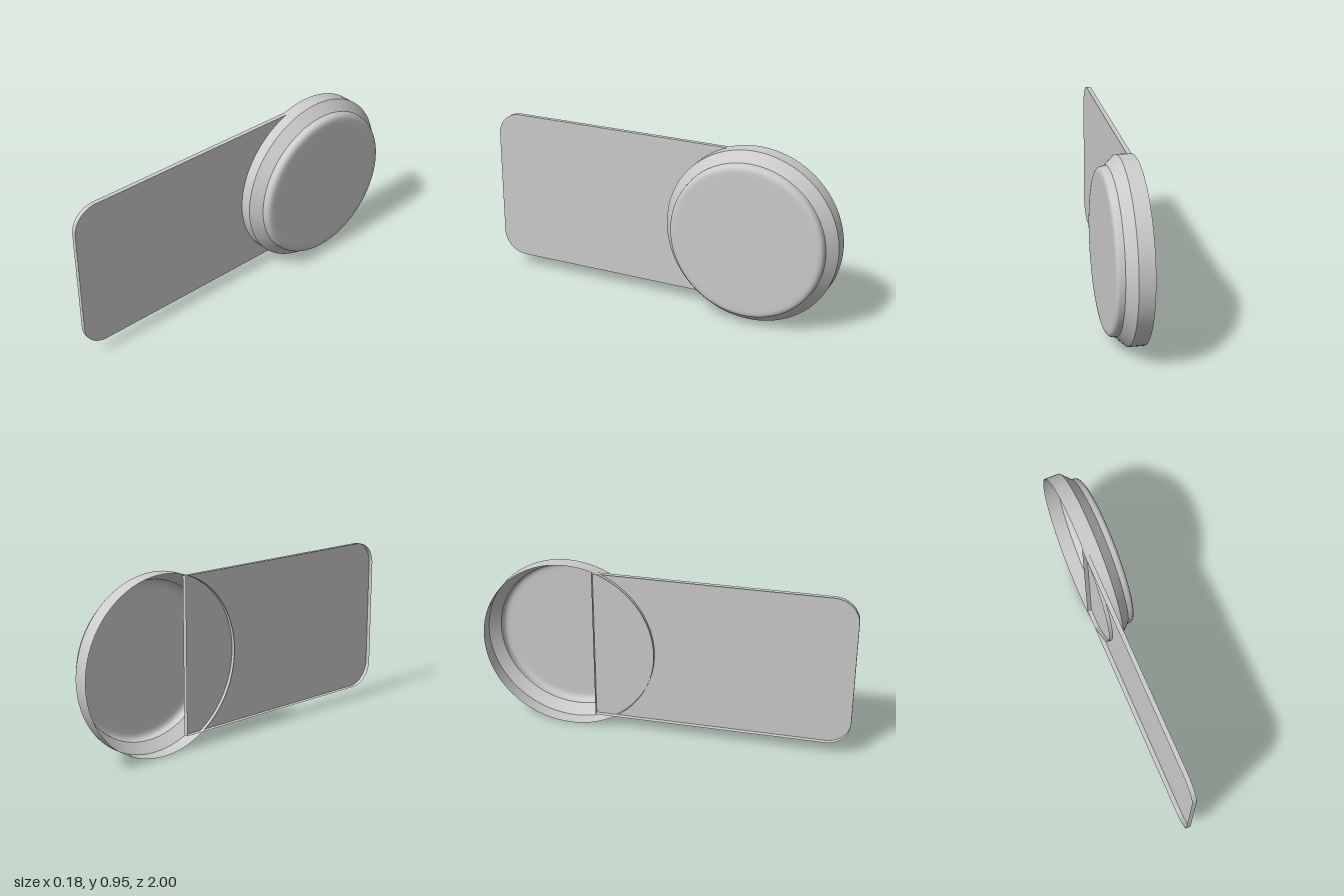
import * as THREE from 'three';
import { toCreasedNormals } from 'three/addons/utils/BufferGeometryUtils.js';

const material = new THREE.MeshStandardMaterial({ color: 0xcccccc, side: THREE.DoubleSide });

// Thin surface of revolution; each profile point is [radius, height]
function turned(name, profile) {
  const points = profile.map(([r, h]) => new THREE.Vector2(r, h));
  const mesh = new THREE.Mesh(new THREE.LatheGeometry(points, 80), material);
  mesh.name = name;
  return mesh;
}

// Hollow round cap, open at the back, its axis along x
function createDisc() {
  const disc = new THREE.Group();
  disc.name = 'disc';
  disc.add(
    turned('rim', [[0.473, -0.086], [0.473, -0.006]]),
    turned('bevel', [[0.473, -0.006], [0.422, 0.046]]),
    turned('lid', [[0.422, 0.046], [0.419, 0.068], [0.415, 0.076], [0.408, 0.082],
      [0.398, 0.086], [0.384, 0.0875], [0.36, 0.0875], [0, 0.0875]]),
  );
  disc.rotation.z = -Math.PI / 2;
  disc.position.set(0, 0.475, -0.527);
  return disc;
}

// Shallow tray, open at the back, rounded at its far end and square under the disc
function createPlate() {
  const plate = new THREE.Group();
  plate.name = 'plate';
  const near = 0.382, far = -1, low = 0.075, high = 0.919, r = 0.13, depth = 0.024;

  const shape = new THREE.Shape();
  shape.moveTo(near, low);
  shape.lineTo(near, high);
  shape.lineTo(far + r, high);
  shape.absarc(far + r, high - r, r, Math.PI / 2, Math.PI, false);
  shape.lineTo(far, low + r);
  shape.absarc(far + r, low + r, r, Math.PI, Math.PI * 1.5, false);
  shape.closePath();

  const face = new THREE.Mesh(new THREE.ShapeGeometry(shape, 12), material);
  face.name = 'plateFace';
  face.position.z = depth;

  // Side wall that follows the outline
  const outline = shape.getPoints(12);
  const corners = [];
  for (let i = 0; i < outline.length - 1; i++) {
    const a = outline[i], b = outline[i + 1];
    if (a.distanceTo(b) < 1e-6) continue;
    corners.push(a.x, a.y, 0, b.x, b.y, 0, b.x, b.y, depth);
    corners.push(a.x, a.y, 0, b.x, b.y, depth, a.x, a.y, depth);
  }
  const wallGeometry = new THREE.BufferGeometry();
  wallGeometry.setAttribute('position', new THREE.Float32BufferAttribute(corners, 3));
  const wall = new THREE.Mesh(toCreasedNormals(wallGeometry, 0.6), material);
  wall.name = 'plateWall';

  plate.add(face, wall);
  plate.rotation.y = Math.PI / 2;
  plate.position.x = -0.09;
  return plate;
}

export function createModel() {
  const model = new THREE.Group();
  model.name = 'discOnPlate';
  model.add(createDisc(), createPlate());
  return model;
}
